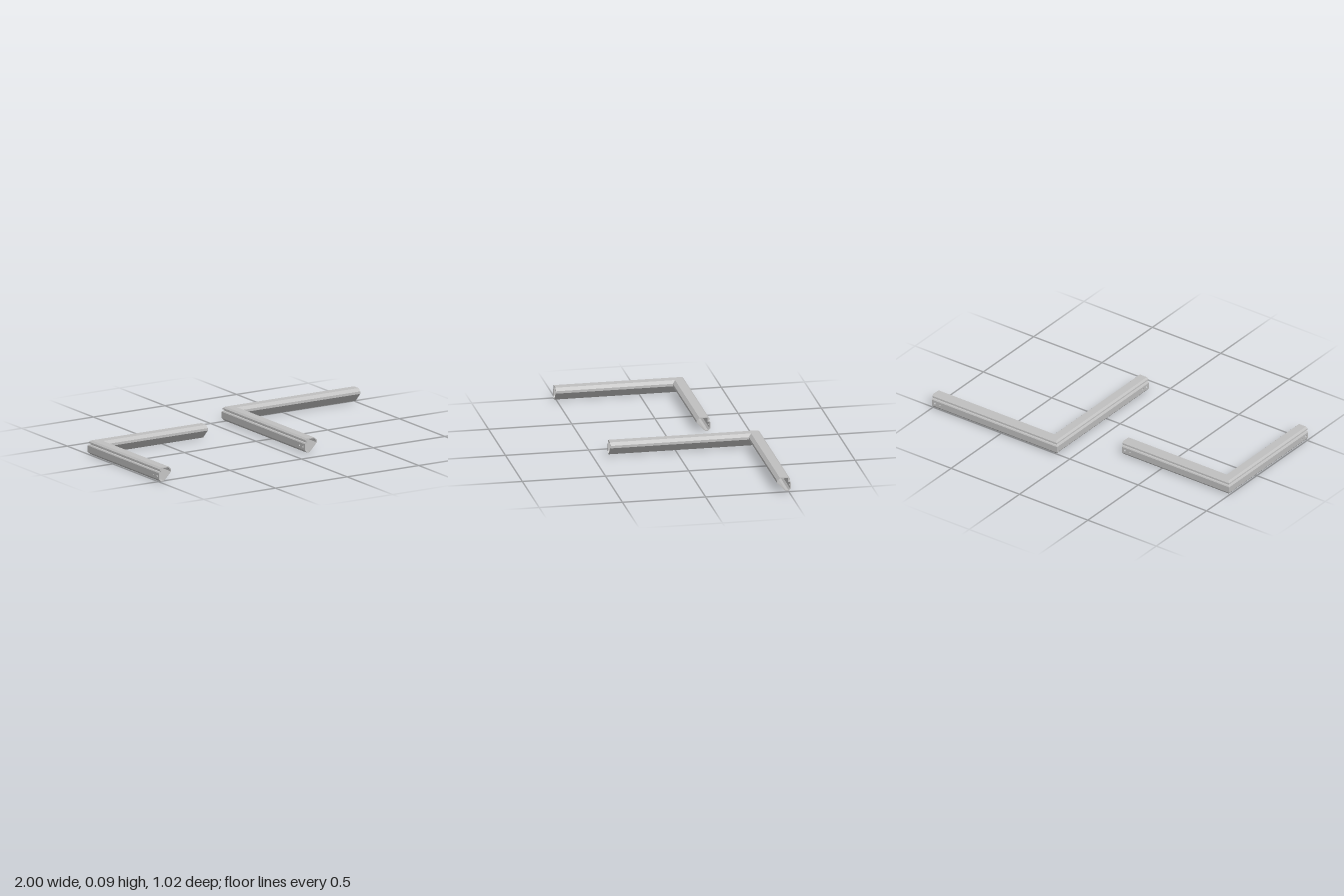
import * as THREE from 'three';

// Cross-section as [distance in from the outer wall, height]; the drilled flat wall is separate
const WALL_LOW = 0.014, WALL_HIGH = 0.052, THICK = 0.005;
const OUTER = [[0, WALL_HIGH], [0.004, 0.058], [0.012, 0.06], [0.012, 0.066], [0.004, 0.068],
  [0.005, 0.076], [0.016, 0.085], [0.066, 0.085], [0.083, 0.068], [0.083, 0.053],
  [0.032, 0], [0.012, 0], [0, WALL_LOW]];
const INNER = [[THICK, WALL_LOW + 0.002], [0.014, 0.005], [0.03, 0.005], [0.078, 0.055], [0.078, 0.066],
  [0.064, 0.08], [0.018, 0.08], [0.017, 0.069], [0.017, 0.056], [0.008, 0.055], [THICK, WALL_HIGH]];
const PROFILE = [...OUTER, ...INNER];

// Hollow section swept along both arms, mitred at the corner, with capped ends
function sweepGeometry(length) {
  const stations = [
    ([u, v]) => [u, v, length],
    ([u, v]) => [u, v, u],
    ([u, v]) => [length, v, u],
  ];
  const pos = [];
  const tri = (a, b, c) => pos.push(...a, ...b, ...c);
  for (let s = 0; s < 2; s++) {
    PROFILE.forEach((p, i) => {
      const q = PROFILE[(i + 1) % PROFILE.length];
      const a = stations[s](p), b = stations[s](q);
      const c = stations[s + 1](q), d = stations[s + 1](p);
      tri(a, c, b);
      tri(a, d, c);
    });
  }
  const points = PROFILE.map(([u, v]) => new THREE.Vector2(u, v));
  for (const [a, b, c] of THREE.ShapeUtils.triangulateShape(points, [])) {
    tri(stations[0](PROFILE[a]), stations[0](PROFILE[b]), stations[0](PROFILE[c]));
    tri(stations[2](PROFILE[a]), stations[2](PROFILE[b]), stations[2](PROFILE[c]));
  }
  const geo = new THREE.BufferGeometry();
  geo.setAttribute('position', new THREE.Float32BufferAttribute(pos, 3));
  geo.computeVertexNormals();
  return geo;
}

// Flat outer wall with two screw holes near the open end
function wallGeometry(length) {
  const shape = new THREE.Shape();
  shape.moveTo(0, WALL_LOW);
  shape.lineTo(length, WALL_LOW);
  shape.lineTo(length, WALL_HIGH);
  shape.lineTo(0, WALL_HIGH);
  shape.closePath();
  for (const [inset, radius] of [[0.022, 0.007], [0.06, 0.005]]) {
    const hole = new THREE.Path();
    hole.absarc(length - inset, 0.034, radius, 0, Math.PI * 2, true);
    shape.holes.push(hole);
  }
  return new THREE.ExtrudeGeometry(shape, { depth: THICK, bevelEnabled: false, curveSegments: 8 });
}

function cornerRail(name, length, material) {
  const rail = new THREE.Group();
  rail.name = name;
  const add = (part, geometry) => {
    const mesh = new THREE.Mesh(geometry, material);
    mesh.name = part;
    rail.add(mesh);
    return mesh;
  };
  add('mitredProfile', sweepGeometry(length));
  add('backWall', wallGeometry(length));
  const side = add('sideWall', wallGeometry(length));
  side.rotation.y = -Math.PI / 2;
  side.position.x = THICK;
  return rail;
}

export function createModel() {
  const model = new THREE.Group();
  model.name = 'cornerRails';
  const aluminium = new THREE.MeshStandardMaterial({ color: 0xc0c0c0 });
  aluminium.name = 'aluminium';
  aluminium.side = THREE.DoubleSide;

  const small = cornerRail('smallRail', 0.785, aluminium);
  small.position.set(-1, 0, -0.275);
  const large = cornerRail('largeRail', 0.915, aluminium);
  large.position.set(0.085, 0.005, -0.512);
  model.add(small, large);
  return model;
}
